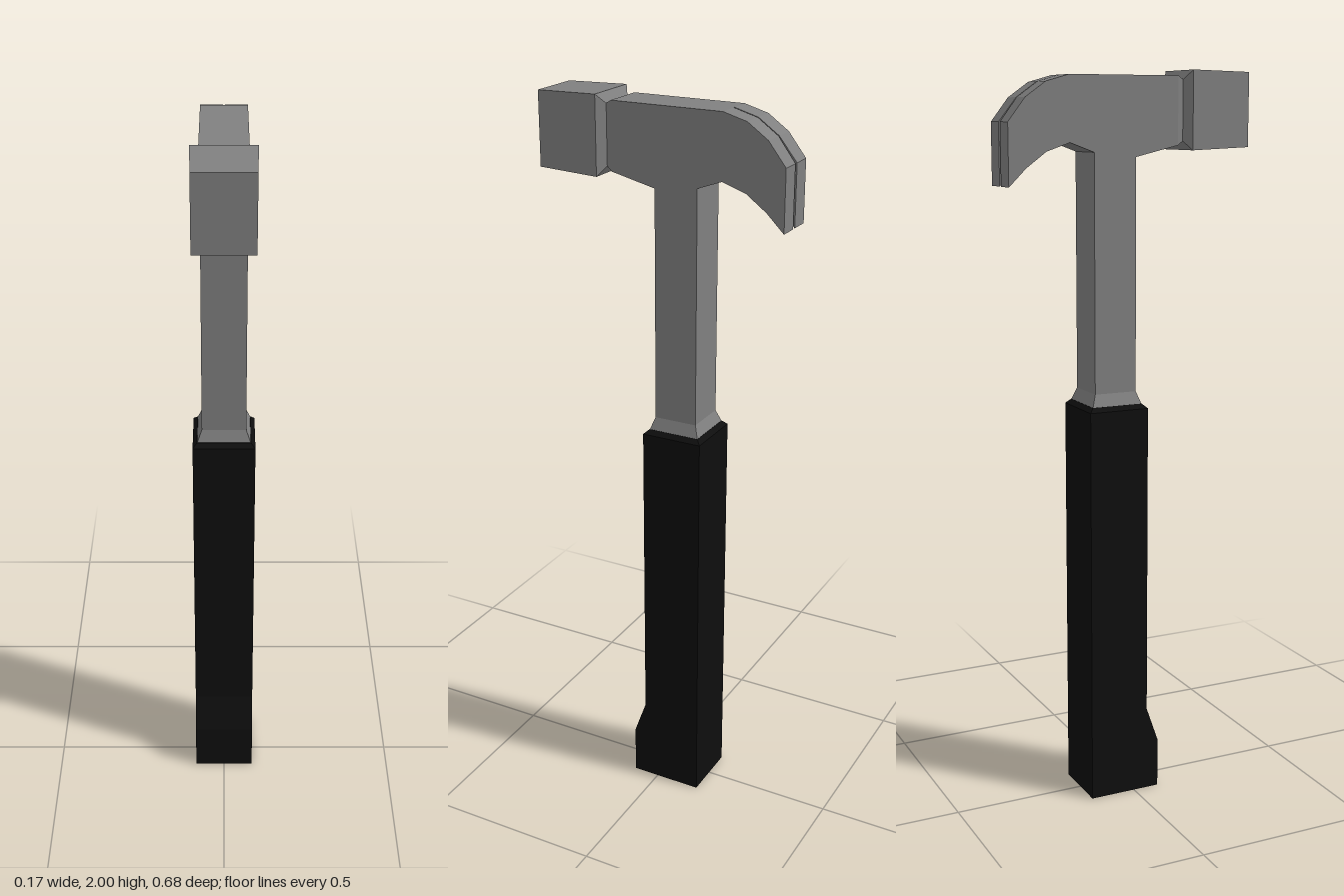
import * as THREE from 'three';

// Flat-shaded solid through four-cornered rings, with both ends closed.
function loft(rings) {
  const pos = [];
  const quad = (a, b, c, d) => pos.push(...a, ...b, ...c, ...a, ...c, ...d);
  for (let r = 0; r < rings.length - 1; r++) {
    const a = rings[r], b = rings[r + 1];
    for (let i = 0; i < 4; i++) {
      const j = (i + 1) % 4;
      quad(a[i], a[j], b[j], b[i]);
    }
  }
  const s = rings[0], e = rings[rings.length - 1];
  quad(s[3], s[2], s[1], s[0]);
  quad(e[0], e[1], e[2], e[3]);
  const geo = new THREE.BufferGeometry();
  geo.setAttribute('position', new THREE.Float32BufferAttribute(pos, 3));
  geo.computeVertexNormals();
  return geo;
}

// Rectangle across the z axis (lofts run towards +z).
const ringZ = (z, x0, x1, y0, y1) => [[x0, y0, z], [x1, y0, z], [x1, y1, z], [x0, y1, z]];
// Rectangle across the y axis (lofts run towards +y).
const ringY = (y, w, z0, z1) => [[-w, y, z1], [w, y, z1], [w, y, z0], [-w, y, z0]];

export function createModel() {
  const steel = new THREE.MeshStandardMaterial({ color: 0x808080 });
  steel.name = 'steel grey';
  const rubber = new THREE.MeshStandardMaterial({ color: 0x0e0e0e });
  rubber.name = 'rubber black';

  const group = new THREE.Group();
  group.name = 'clawHammer';
  const add = (name, rings, material) => {
    const mesh = new THREE.Mesh(loft(rings), material);
    mesh.name = name;
    group.add(mesh);
  };

  // Grip with a wider heel at the front of its base
  add('grip', [
    ringY(0, 0.085, -0.13, 0.075),
    ringY(0.14, 0.085, -0.13, 0.075),
    ringY(0.24, 0.085, -0.13, 0.04),
    ringY(1.11, 0.085, -0.13, 0.04),
    ringY(1.122, 0.073, -0.118, 0.027),
  ], rubber);

  // Shaft flaring out where it enters the grip
  add('shaft', [
    ringY(1.12, 0.073, -0.118, 0.027),
    ringY(1.155, 0.06, -0.105, 0.015),
    ringY(1.85, 0.06, -0.105, 0.015),
  ], steel);

  // Head body, tapering slightly at the neck
  add('headBody', [
    ringZ(-0.173, -0.06, 0.06, 1.815, 1.985),
    ringZ(-0.105, -0.06, 0.06, 1.79, 1.985),
    ringZ(0.015, -0.06, 0.06, 1.777, 1.985),
    ringZ(0.138, -0.06, 0.06, 1.806, 1.985),
    ringZ(0.155, -0.054, 0.054, 1.817, 1.975),
  ], steel);

  // Striking block with a chamfered back
  add('strikingBlock', [
    ringZ(0.155, -0.054, 0.054, 1.817, 1.975),
    ringZ(0.172, -0.08, 0.08, 1.793, 2),
    ringZ(0.342, -0.076, 0.076, 1.8, 1.996),
  ], steel);

  // Two claw prongs: z, bottom y, top y, half width of the slit
  const claw = [
    [-0.342, 1.705, 1.867, 0.005],
    [-0.294, 1.752, 1.928, 0.002],
    [-0.238, 1.793, 1.967, 0.002],
    [-0.173, 1.815, 1.985, 0.002],
  ];
  add('leftClaw', claw.map(([z, y0, y1, s]) => ringZ(z, s, 0.06, y0, y1)), steel);
  add('rightClaw', claw.map(([z, y0, y1, s]) => ringZ(z, -0.06, -s, y0, y1)), steel);

  return group;
}
